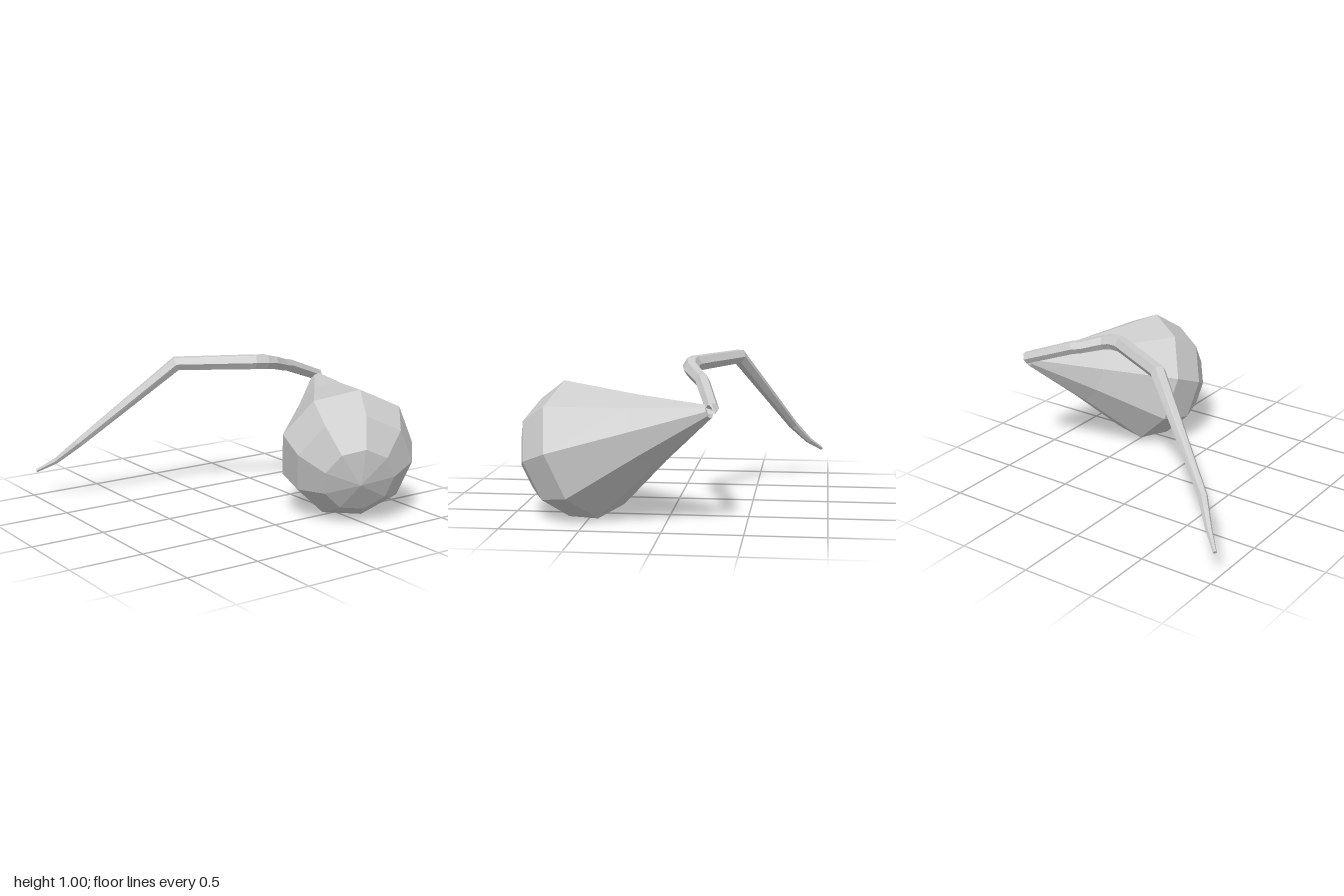
import * as THREE from 'three';

const material = new THREE.MeshStandardMaterial({
  color: 0xcccccc, flatShading: true, side: THREE.DoubleSide,
});

// Skin a chain of [x, y, z, radius] stations with polygonal rings.
function sweep(stations, sides) {
  const points = stations.map(([x, y, z]) => new THREE.Vector3(x, y, z));
  const up = new THREE.Vector3(0, 1, 0);
  const positions = [], index = [];
  const last = points.length - 1;
  points.forEach((p, k) => {
    const before = p.clone().sub(points[Math.max(k - 1, 0)]).normalize();
    const after = points[Math.min(k + 1, last)].clone().sub(p).normalize();
    const tangent = before.add(after).normalize();
    const side = up.clone().cross(tangent).normalize();
    const over = tangent.clone().cross(side);
    for (let j = 0; j < sides; j++) {
      const a = (j / sides) * Math.PI * 2;
      const v = p.clone()
        .addScaledVector(side, Math.cos(a) * stations[k][3])
        .addScaledVector(over, Math.sin(a) * stations[k][3]);
      positions.push(v.x, v.y, v.z);
      if (k < last) {
        const a0 = k * sides + j, a1 = k * sides + (j + 1) % sides;
        index.push(a0, a1, a0 + sides, a1, a1 + sides, a0 + sides);
      }
    }
  });
  // Close the thin end
  for (let j = 1; j < sides - 1; j++) index.push(0, j + 1, j);
  const geometry = new THREE.BufferGeometry();
  geometry.setAttribute('position', new THREE.Float32BufferAttribute(positions, 3));
  geometry.setIndex(index);
  geometry.computeVertexNormals();
  return geometry;
}

export function createModel() {
  const model = new THREE.Group();
  model.name = 'bulbOnStem';

  // Nine-sided bulb: open neck, concave taper, rounded end
  const profile = [
    [0.042, -0.935], [0.235, -0.475], [0.455, 0], [0.394, 0.225], [0.235, 0.375], [0, 0.435],
  ].map(([r, h]) => new THREE.Vector2(r, h));
  const bulb = new THREE.Mesh(new THREE.LatheGeometry(profile, 9), material);
  bulb.name = 'bulb';

  // Tilt the bulb along its axis, with one edge facing up
  const axis = new THREE.Vector3(-0.39, -0.31, 0.82).normalize();
  const edge = new THREE.Vector3(-0.01, 0.44, 0.14);
  edge.addScaledVector(axis, -edge.dot(axis)).normalize();
  const across = axis.clone().cross(edge);
  bulb.quaternion.setFromRotationMatrix(new THREE.Matrix4().makeBasis(across, axis, edge));
  bulb.position.set(0.569, 0.424, 0.513);
  model.add(bulb);

  // Bent stem, from its thin free end to the bulb's neck
  const stem = new THREE.Mesh(sweep([
    [-0.995, 0.177, -0.95, 0.012],
    [-0.89, 0.255, -0.855, 0.022],
    [-0.77, 0.39, -0.74, 0.032],
    [-0.195, 0.94, -0.385, 0.052],
    [0.28, 0.94, -0.13, 0.054],
    [0.36, 0.935, -0.117, 0.054],
    [0.43, 0.92, -0.125, 0.051],
    [0.57, 0.878, -0.192, 0.046],
    [0.625, 0.868, -0.215, 0.046],
    [0.965, 0.745, -0.305, 0.042],
  ], 6), material);
  stem.name = 'stem';
  model.add(stem);

  return model;
}
